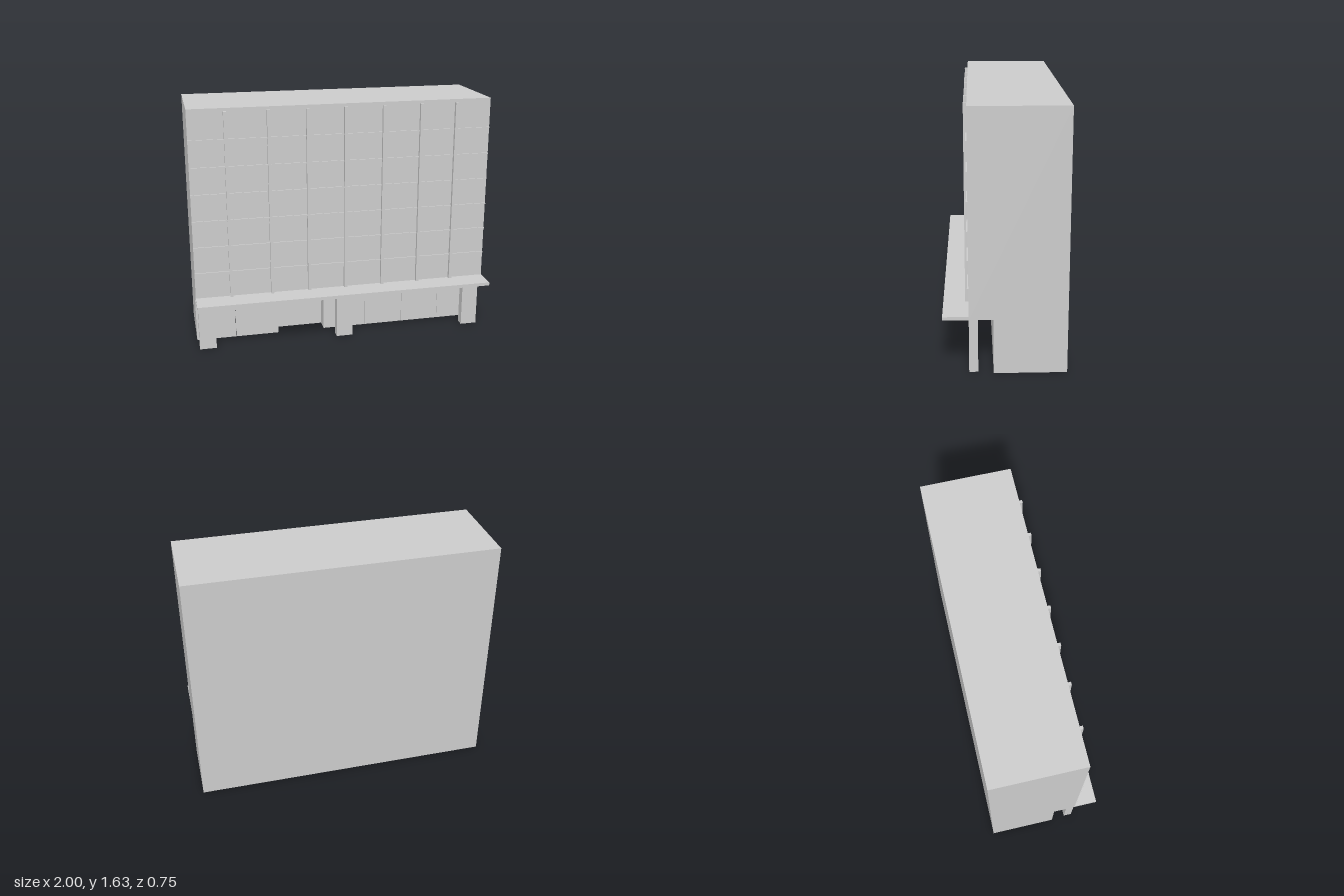
import * as THREE from 'three';

export function createModel() {
  const model = new THREE.Group();
  const grey = new THREE.MeshStandardMaterial({ color: 0xcccccc, flatShading: true });
  const thin = new THREE.MeshStandardMaterial({ color: 0xcccccc, flatShading: true, side: THREE.DoubleSide });

  // Box given by its limits on each axis
  function block(name, x0, x1, y0, y1, z0, z1) {
    const mesh = new THREE.Mesh(new THREE.BoxGeometry(x1 - x0, y1 - y0, z1 - z0), grey);
    mesh.position.set((x0 + x1) / 2, (y0 + y1) / 2, (z0 + z1) / 2);
    mesh.name = name;
    model.add(mesh);
  }

  // Upright sheet without thickness
  function sheet(name, width, height, x, y, z, turn) {
    const mesh = new THREE.Mesh(new THREE.PlaneGeometry(width, height), thin);
    mesh.position.set(x, y, z);
    mesh.rotation.y = turn;
    mesh.name = name;
    model.add(mesh);
  }

  const top = 1.63, soffit = 0.35, back = -0.375, facade = 0.218, shop = 0.07;

  // Upper floors
  block('upperFloors', -1, 1, soffit, top, back, facade);

  // Ground floor shell, open underneath
  sheet('groundBackWall', 2, soffit, 0, soffit / 2, back, Math.PI);
  for (const s of [-1, 1]) {
    sheet('groundSideWall', shop - back, soffit, s, soffit / 2, (shop + back) / 2, s * Math.PI / 2);
  }

  // Shopfront panels with hairline joints
  const joints = [[-1, -0.732, -0.465], [-0.08, 0.19, 0.46, 0.73, 1]];
  for (const row of joints) {
    for (let i = 0; i < row.length - 1; i++) {
      block('shopfrontPanel', row[i] + (i ? 0.002 : 0), row[i + 1], 0, soffit, shop - 0.009, shop);
    }
  }

  // Recessed entrance
  block('entranceReturnRight', -0.465, -0.435, 0, soffit, -0.03, shop);
  block('entranceReturnLeft', -0.11, -0.08, 0, soffit, -0.03, shop);
  block('entranceDoor', -0.435, -0.11, 0, soffit, -0.03, -0.02);

  // Canopy and its columns
  block('canopy', -1, 1, soffit, 0.372, facade - 0.01, 0.375);
  for (const x of [-0.99, -0.047, 0.867]) {
    block('column', x, x + 0.112, 0, soffit, 0.163, facade);
  }

  // Floor bands on the facade
  for (let i = 0; i < 6; i++) {
    const y = 0.545 + i * 0.1772;
    block('floorBand', -1, 1, y - 0.004, y + 0.004, facade - 0.005, 0.227);
  }

  // Vertical fins on the facade
  for (const x of [-0.763, -0.49, -0.238, 0.011, 0.267, 0.52, 0.761]) {
    block('facadeFin', x - 0.01, x + 0.01, 0.372, 1.61, facade - 0.005, 0.24);
  }

  return model;
}
